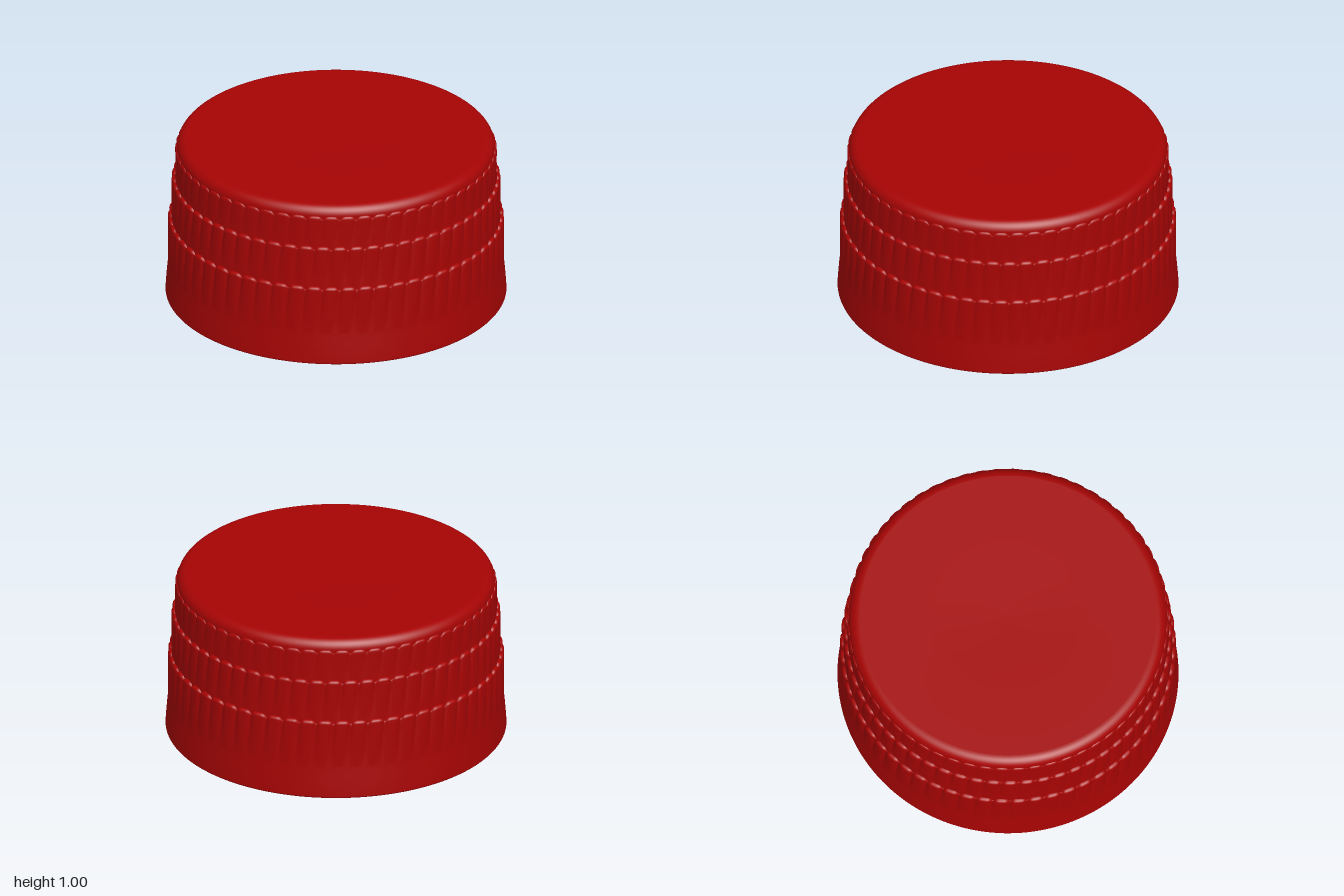
import * as THREE from 'three';

const RIBS = 60, STEPS = 12, SEG = RIBS * STEPS;

// Ribbed tiers: each stands proud of the one above and tucks a little behind the one below
const TIERS = [
  { name: 'upperRibs', top: 0.937, fade: 0.742, bottom: 0.7, inner: 0.931, outer: 0.943, shift: 0 },
  { name: 'middleRibs', top: 0.747, fade: 0.49, bottom: 0.45, inner: 0.943, outer: 0.964, shift: 0.5 },
  { name: 'lowerRibs', top: 0.494, fade: 0.2, bottom: 0.2, inner: 0.964, outer: 0.985, shift: 0 },
];

// Rings of one tier; each ring gives [radius, height] at angle step j
function tierRings(t) {
  const rings = [];
  const headHeight = 0.018;
  const makeRing = (y, bulge) => {
    const fade = Math.max(0, (y - t.fade) / (t.top - t.fade));
    return (j) => {
      const u = (j / STEPS + t.shift + 0.25 * (1 - fade)) % 1;
      // Valley between ribs: narrow at the head, widening and fading downwards
      const valley = Math.pow(Math.abs(2 * u - 1), 1.1 + 2.9 * fade);
      const r = t.inner + (t.outer - t.inner) * bulge * (1 - 0.9 * valley * Math.pow(fade, 0.8));
      return [r, y - 0.026 * valley * Math.pow(fade, 6)];
    };
  };
  for (let k = 0; k <= 5; k++) {
    const a = (k / 5) * Math.PI / 2;
    rings.push(makeRing(t.top - headHeight * (1 - Math.cos(a)), Math.sin(a)));
  }
  for (let k = 1; k <= 10; k++) {
    rings.push(makeRing(THREE.MathUtils.lerp(t.top - headHeight, t.bottom, k / 10), 1));
  }
  return rings;
}

function ringSurface(rings) {
  const pos = [], index = [];
  rings.forEach((ring, i) => {
    for (let j = 0; j < SEG; j++) {
      const a = (j / SEG) * Math.PI * 2;
      const [r, y] = ring(j);
      pos.push(r * Math.sin(a), y, r * Math.cos(a));
      if (i === rings.length - 1) continue;
      const p = i * SEG + j, q = i * SEG + (j + 1) % SEG;
      index.push(p, p + SEG, q, q, p + SEG, q + SEG);
    }
  });
  const geo = new THREE.BufferGeometry();
  geo.setAttribute('position', new THREE.Float32BufferAttribute(pos, 3));
  geo.setIndex(index);
  geo.computeVertexNormals();
  return geo;
}

const lathe = (pts) => new THREE.LatheGeometry(pts.map(([x, y]) => new THREE.Vector2(x, y)), 180);

// Arc points from angle a0 to a1
const arc = (cx, cy, r, a0, a1, n = 8) => Array.from({ length: n + 1 }, (_, i) => {
  const a = a0 + (a1 - a0) * i / n;
  return [cx + r * Math.cos(a), cy + r * Math.sin(a)];
});

export function createModel() {
  const group = new THREE.Group();
  group.name = 'bottleCap';
  const material = new THREE.MeshStandardMaterial({ color: 0xa60404, side: THREE.DoubleSide });
  const add = (name, geometry) => {
    const mesh = new THREE.Mesh(geometry, material);
    mesh.name = name;
    group.add(mesh);
  };

  // Ribbed grip
  TIERS.forEach((t) => add(t.name, ringSurface(tierRings(t))));

  // Flared skirt with rounded lower edge
  add('skirt', lathe([
    ...arc(0.988, 0.012, 0.012, -Math.PI / 2, 0, 5),
    [0.996, 0.07], [0.991, 0.13], [0.987, 0.17], [0.985, 0.2],
  ]));

  // Rounded shoulder and flat top with a faint central dip
  add('topShoulder', lathe([[0.931, 0.89], ...arc(0.872, 0.935, 0.06, 0, Math.PI / 2, 10)]));
  add('topDisc', lathe([[0.872, 0.995], [0.48, 0.995], [0.42, 0.994], [0.2, 0.991], [0, 0.99]]));

  // Hollow inside: ceiling, fillet, wall and rim
  add('inside', lathe([
    [0, 0.908], [0.5, 0.908],
    ...arc(0.848, 0.838, 0.07, Math.PI / 2, 0),
    [0.934, 0.6], [0.951, 0.3], [0.965, 0.03], [0.971, 0.006], [0.988, 0],
  ]));
  return group;
}
